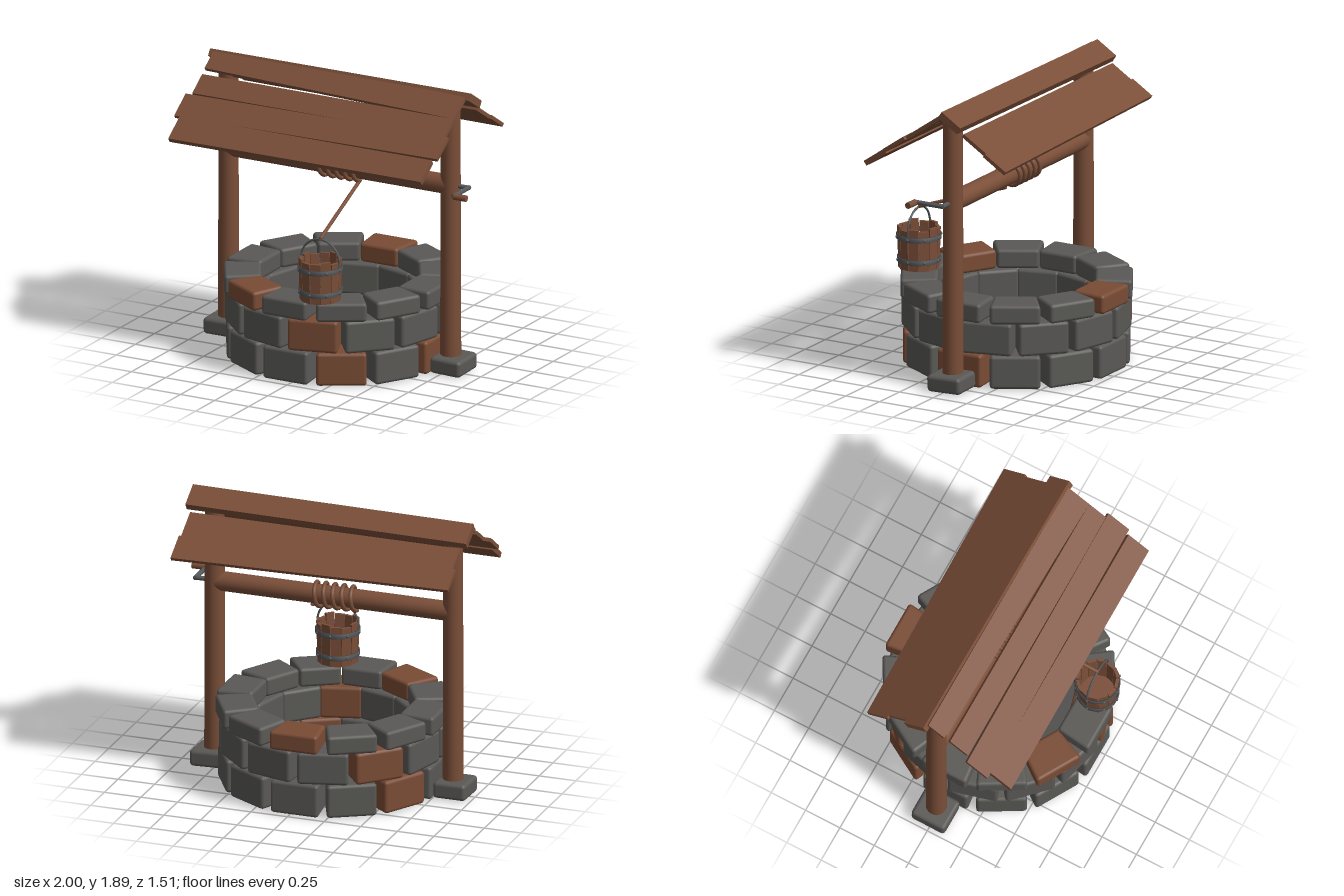
import * as THREE from 'three';
import { RoundedBoxGeometry } from 'three/addons/geometries/RoundedBoxGeometry.js';

const mat = (name, color, side = THREE.FrontSide) => {
  const m = new THREE.MeshStandardMaterial({ color, side });
  m.name = name;
  return m;
};

export function createModel() {
  const wood = mat('wood', 0x7a4e38);
  const brownStone = mat('brown stone', 0x7a4c35);
  const greyStone = mat('grey stone', 0x5a5956);
  const metal = mat('metal', 0x55585a);
  const floorStone = mat('well floor', 0x4f4e4c, THREE.DoubleSide);

  const well = new THREE.Group();
  well.name = 'well';
  const add = (name, geo, material, x = 0, y = 0, z = 0, parent = well) => {
    const m = new THREE.Mesh(geo, material);
    m.name = name;
    m.position.set(x, y, z);
    parent.add(m);
    return m;
  };
  const group = (name, x = 0, y = 0, z = 0) => {
    const g = new THREE.Group();
    g.name = name;
    g.position.set(x, y, z);
    well.add(g);
    return g;
  };
  // Round bar between two points
  const bar = (name, a, b, r, material, parent = well, r2 = r, sides = 16) => {
    const p = new THREE.Vector3(...a), q = new THREE.Vector3(...b);
    const d = q.clone().sub(p);
    const m = add(name, new THREE.CylinderGeometry(r2, r, d.length(), sides), material, 0, 0, 0, parent);
    m.position.copy(p).add(q).multiplyScalar(0.5);
    m.quaternion.setFromUnitVectors(new THREE.Vector3(0, 1, 0), d.normalize());
    return m;
  };

  // Stone ring: three courses of twelve wedge-shaped stones
  const stone = (w, h, d, taper) => {
    const g = new RoundedBoxGeometry(w, h, d, 2, 0.022);
    const p = g.attributes.position;
    for (let i = 0; i < p.count; i++) p.setX(i, p.getX(i) * (1 + taper * p.getZ(i) / d));
    return g;
  };
  const ring = group('stoneRing', -0.035, 0, -0.005);
  const courses = [
    { y0: 0.015, y1: 0.235, r: 0.725, turn: 0, w: 0.3, brown: [1, 3, 8] },
    { y0: 0.235, y1: 0.45, r: 0.722, turn: 0.5, w: 0.305, brown: [0, 7] },
    { y0: 0.45, y1: 0.577, r: 0.742, turn: 0, w: 0.3, brown: [6, 11] },
  ];
  for (const c of courses) {
    const geo = stone(c.w, c.y1 - c.y0, 0.24, 0.2);
    for (let k = 0; k < 12; k++) {
      const a = (k + c.turn) * Math.PI / 6, r = c.r - 0.12;
      const s = add('ringStone', geo, c.brown.includes(k) ? brownStone : greyStone,
        Math.sin(a) * r, (c.y0 + c.y1) / 2, Math.cos(a) * r, ring);
      s.rotation.y = a;
    }
  }
  add('wellFloor', new THREE.CircleGeometry(0.56, 32), floorStone, 0, 0.04, 0, ring).rotation.x = -Math.PI / 2;

  // Posts on footing stones
  for (const [x, fx, tilt] of [[-0.855, -0.868, 0], [0.772, 0.793, -0.03]]) {
    bar('post', [x, 0.05, -0.013], [x, 1.8, -0.013], 0.068, wood, well, 0.063, 24);
    const f = add('footingStone', new RoundedBoxGeometry(0.222, 0.11, 0.245, 2, 0.025), greyStone, fx, 0.07, -0.012);
    f.rotation.set(0.03, 0, tilt);
  }
  bar('ridgePole', [-0.9, 1.79, -0.01], [0.81, 1.79, -0.01], 0.055, wood);
  bar('windlassRoller', [-0.86, 1.263, -0.012], [0.78, 1.263, -0.012], 0.064, wood, well, 0.064, 24);

  // Roof planks: [xL, xR, z edges at left end, z edges at right end, lift, thickness]
  const planks = [
    [-0.965, 0.885, -0.01, 0.105, -0.005, 0.15, 0, 0.025],
    [-0.96, 0.885, 0.145, 0.275, 0.15, 0.275, 0, 0.025],
    [-1.0, 0.915, 0.29, 0.44, 0.275, 0.425, 0.006, 0.025],
    [-0.96, 0.885, 0.437, 0.59, 0.437, 0.585, 0.006, 0.035],
    [-1.0, 0.92, -0.17, -0.03, -0.155, -0.015, 0.043, 0.05],
    [-0.96, 0.885, -0.315, -0.165, -0.325, -0.16, 0, 0.025],
    [-0.98, 0.9, -0.45, -0.305, -0.48, -0.325, 0, 0.025],
  ];
  const roof = group('roof');
  for (const [xL, xR, zL0, zL1, zR0, zR1, lift, thick] of planks) {
    const side = zL0 + zL1 > 0 ? 1 : -1;
    const slope = side > 0 ? 0.7 : 0.63, top = side > 0 ? 1.875 : 1.866;
    const len = Math.hypot(1, slope);
    const g = new THREE.BoxGeometry(1, 1, 1);
    const p = g.attributes.position;
    for (let i = 0; i < p.count; i++) {
      const right = p.getX(i) > 0, far = p.getZ(i) > 0, low = p.getY(i) < 0;
      const z = right ? (far ? zR1 : zR0) : (far ? zL1 : zL0);
      const drop = low ? thick / len : 0;
      p.setXYZ(i, right ? xR : xL, top + lift - slope * z * side - drop, z - drop * slope * side);
    }
    g.computeVertexNormals();
    add('roofPlank', g, wood, 0, 0, 0, roof);
  }

  // Crank
  const crank = group('crank', 0, 1.263, -0.012);
  bar('crankAxle', [0.76, 0, 0], [0.905, 0, 0], 0.015, metal, crank);
  bar('crankArm', [0.903, 0, -0.01], [0.903, 0, 0.2], 0.015, metal, crank);
  bar('crankHandle', [0.91, 0, 0.2], [1.0, 0, 0.2], 0.021, wood, crank);

  // Rope: coil round the roller, then a straight run to the bucket
  const coil = [];
  for (let i = 0; i <= 100; i++) {
    const a = i / 100 * Math.PI * 10 + Math.PI;
    coil.push(new THREE.Vector3(-0.2 + 0.31 * i / 100, 1.263 + Math.cos(a) * 0.077, -0.012 + Math.sin(a) * 0.077));
  }
  add('ropeCoil', new THREE.TubeGeometry(new THREE.CatmullRomCurve3(coil), 200, 0.014, 8), wood);
  bar('rope', [0.108, 1.186, -0.012], [0.163, 0.978, 0.605], 0.012, wood, well, 0.012, 10);

  // Bucket: staves, bottom, two riveted hoops and a wire bail
  const bucket = group('bucket', 0.163, 0.575, 0.605);
  const heights = [0.27, 0.282, 0.265, 0.28, 0.268, 0.283, 0.272, 0.264, 0.28, 0.27, 0.284, 0.268];
  heights.forEach((h, i) => {
    const a = (i + 0.5) * Math.PI / 6;
    const g = new THREE.BoxGeometry(0.066, h, 0.02);
    const p = g.attributes.position;
    for (let j = 0; j < p.count; j++) if (p.getZ(j) < 0) p.setX(j, p.getX(j) * 0.85);
    const s = add('stave', g, wood, Math.sin(a) * 0.122, h / 2, Math.cos(a) * 0.122, bucket);
    s.rotation.set(0.03, a, 0, 'YXZ');
  });
  add('bucketBottom', new THREE.CylinderGeometry(0.115, 0.115, 0.02, 24), wood, 0, 0.025, 0, bucket);
  for (const [y, r] of [[0.06, 0.131], [0.212, 0.136]]) {
    const h = 0.016;
    const profile = [[r, -h], [r + 0.01, -h], [r + 0.01, h], [r, h], [r, -h]].map(q => new THREE.Vector2(...q));
    const hoopGeo = new THREE.LatheGeometry(profile, 32);
    add('hoop', hoopGeo, metal, 0, y, 0, bucket);
    for (let k = 0; k < 8; k++) {
      const a = k * Math.PI / 4;
      add('rivet', new THREE.SphereGeometry(0.009, 8, 6), metal, Math.sin(a) * (r + 0.01), y, Math.cos(a) * (r + 0.01), bucket);
    }
  }
  const bail = add('bail', new THREE.TorusGeometry(0.139, 0.007, 8, 32, Math.PI), metal, 0, 0.26, 0, bucket);
  for (const s of [-1, 1]) bar('bailEnd', [s * 0.139, 0.205, 0], [s * 0.139, 0.262, 0], 0.007, metal, bucket, 0.007, 8);
  return well;
}
